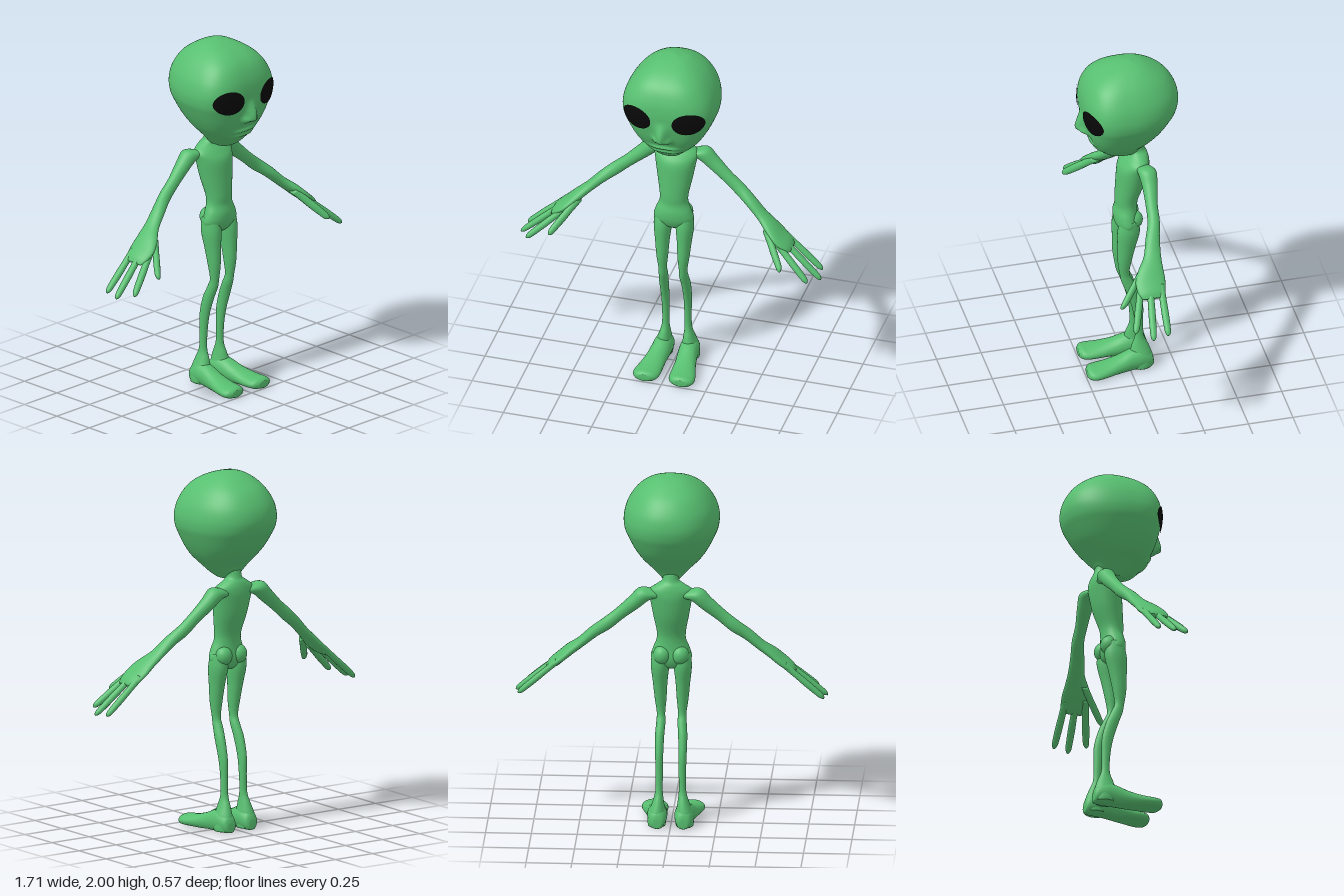
import * as THREE from 'three';

const skin = new THREE.MeshStandardMaterial({ color: 0x57bf70 });
const black = new THREE.MeshStandardMaterial({ color: 0x080808 });
const X = new THREE.Vector3(1, 0, 0), Y = new THREE.Vector3(0, 1, 0), Z = new THREE.Vector3(0, 0, 1);
const ARM_UP = new THREE.Vector3(0.65, 0.76, 0);

// Catmull-Rom through rows of numbers, t in 0..rows.length-1
function spline(rows, t) {
  const i = Math.min(Math.floor(t), rows.length - 2), f = t - i;
  const at = k => rows[Math.max(0, Math.min(rows.length - 1, k))];
  const [a, b, c, d] = [at(i - 1), at(i), at(i + 1), at(i + 2)];
  return b.map((p, k) => p + 0.5 * f * (c[k] - a[k] + f * (2 * a[k] - 5 * p + 4 * c[k] - d[k]
    + f * (3 * (p - c[k]) + d[k] - a[k]))));
}

// Closed skin over rings; ringPoint(row, angle) gives a point, ends close on the ring average
function skinRings(rows, steps, around, ringPoint) {
  const rings = [], count = (rows.length - 1) * steps;
  for (let i = 0; i <= count; i++) {
    const row = spline(rows, i / steps);
    rings.push(Array.from({ length: around }, (_, j) => ringPoint(row, j / around * Math.PI * 2)));
  }
  const collapse = ring => {
    const c = ring.reduce((s, p) => s.add(p), new THREE.Vector3()).divideScalar(around);
    return ring.map(() => c);
  };
  rings.unshift(collapse(rings[0]));
  rings.push(collapse(rings[rings.length - 1]));
  const index = [];
  for (let i = 0; i < rings.length - 1; i++) {
    for (let j = 0; j < around; j++) {
      const a = i * around + j, b = i * around + (j + 1) % around;
      index.push(a, b, a + around, b, b + around, a + around);
    }
  }
  const geo = new THREE.BufferGeometry().setFromPoints(rings.flat());
  geo.setIndex(index);
  geo.computeVertexNormals();
  return geo;
}

// Elliptical loft; rows are [x, y, z, radius along u, radius along v]
function loft(rows, u, v, around = 24) {
  return skinRings(rows, 5, around, ([x, y, z, a, b], ang) => {
    const p = new THREE.Vector3(x, y, z)
      .addScaledVector(u, a * Math.cos(ang)).addScaledVector(v, b * Math.sin(ang));
    p.y = Math.max(0, p.y);
    return p;
  });
}

function mirrored(geo) {
  const m = geo.clone().scale(-1, 1, 1), ix = m.index.array;
  for (let i = 0; i < ix.length; i += 3) [ix[i], ix[i + 1]] = [ix[i + 1], ix[i]];
  m.computeVertexNormals();
  return m;
}

// Head rows: y, z of widest point, half width, front z, back z
const HEAD = [
  [2.0, -0.02, 0.004, -0.016, -0.024], [1.985, -0.02, 0.075, 0.06, -0.09], [1.95, 0, 0.14, 0.145, -0.16],
  [1.9, 0.02, 0.195, 0.205, -0.225], [1.83, 0.03, 0.24, 0.24, -0.27], [1.76, 0.04, 0.26, 0.252, -0.285],
  [1.7, 0.04, 0.258, 0.25, -0.275], [1.65, 0.04, 0.24, 0.24, -0.25], [1.58, 0.04, 0.205, 0.222, -0.205],
  [1.52, 0.04, 0.165, 0.195, -0.15], [1.47, 0.03, 0.115, 0.167, -0.105], [1.42, 0.02, 0.065, 0.118, -0.075],
  [1.4, 0, 0.045, 0.075, -0.06],
];
const FRONT = 2.8, BACK = 2.2;

// Nose, nostrils and lips as relief on the face
function relief(x, y) {
  const bell = (v, w) => Math.exp(-((v / w) ** 2));
  const nose = 0.055 * bell(x, 0.032) * (1 - THREE.MathUtils.smoothstep(y, 1.61, 1.73))
    * THREE.MathUtils.smoothstep(y, 1.565, 1.602);
  const nostrils = 0.022 * bell(Math.abs(x) - 0.038, 0.016) * bell(y - 1.595, 0.02);
  const lips = Math.exp(-((x / 0.085) ** 4)) * (0.016 * bell(y - 1.522, 0.011) + 0.014 * bell(y - 1.49, 0.013));
  return nose + nostrils + lips;
}

function headPoint([y, zc, w, zf, zb], ang) {
  const c = Math.cos(ang), s = Math.sin(ang), n = s > 0 ? FRONT : BACK;
  const r = (Math.abs(c) ** n + Math.abs(s) ** n) ** (-1 / n);
  const x = w * r * c;
  let z = zc + r * s * (s > 0 ? zf - zc : zc - zb);
  if (s > 0) z += relief(x, y);
  return new THREE.Vector3(x, y, z);
}

// Front surface of the head at x, y
function faceZ(x, y) {
  let lo = 0, hi = HEAD.length - 1;
  for (let k = 0; k < 30; k++) {
    const mid = (lo + hi) / 2;
    if (spline(HEAD, mid)[0] > y) lo = mid; else hi = mid;
  }
  const [, zc, w, zf] = spline(HEAD, lo);
  return zc + (zf - zc) * Math.max(0, 1 - (Math.abs(x) / w) ** FRONT) ** (1 / FRONT);
}

// Eye: tilted oval laid on the face
function eyeGeometry() {
  const geo = new THREE.RingGeometry(0.001, 1, 48, 14);
  geo.scale(0.086, 0.068, 1).rotateZ(0.14).translate(0.146, 1.722, 0);
  const p = geo.attributes.position;
  for (let i = 0; i < p.count; i++) p.setZ(i, faceZ(p.getX(i), p.getY(i)) + 0.006);
  geo.computeVertexNormals();
  return geo;
}

function fingerGeometry(base, tip, r) {
  const profile = [[0, 1], [0.3, 0.95], [0.55, 1], [0.85, 0.9], [0.95, 0.7], [1, 0.25]];
  const rows = profile.map(([t, k]) => [...base.map((b, i) => b + (tip[i] - b) * t), r * k * 0.9, r * k]);
  return loft(rows, ARM_UP, Z, 14);
}

export function createModel() {
  const group = new THREE.Group();
  const add = (name, geo, mat = skin) => {
    const m = new THREE.Mesh(geo, mat);
    m.name = name;
    group.add(m);
  };
  const addPair = (name, geo, mat) => {
    add('left' + name, geo, mat);
    add('right' + name, mirrored(geo), mat);
  };

  add('head', skinRings(HEAD, 8, 120, headPoint));
  addPair('Eye', eyeGeometry(), black);

  // Neck, chest, waist and hips
  add('torso', loft([
    [0, 1.45, -0.05, 0.045, 0.045], [0, 1.41, -0.06, 0.046, 0.044], [0, 1.385, -0.065, 0.08, 0.052],
    [0, 1.35, -0.055, 0.122, 0.07], [0, 1.3, -0.04, 0.115, 0.085], [0, 1.2, -0.025, 0.098, 0.08],
    [0, 1.1, -0.004, 0.08, 0.065], [0, 1.05, 0, 0.081, 0.06], [0, 1.0, 0.005, 0.1, 0.065],
    [0, 0.95, 0.002, 0.112, 0.065], [0, 0.91, 0, 0.085, 0.05], [0, 0.89, 0, 0.04, 0.03],
  ], X, Z, 40));
  addPair('Buttock', new THREE.SphereGeometry(0.048, 24, 16).scale(1, 1.1, 1).translate(0.05, 0.97, -0.034));

  // Arm running into a flat palm
  addPair('Arm', loft([
    [0.07, 1.335, -0.07, 0.03, 0.04], [0.14, 1.337, -0.085, 0.044, 0.05], [0.2, 1.285, -0.085, 0.04, 0.042],
    [0.28, 1.215, -0.075, 0.034, 0.033], [0.35, 1.155, -0.068, 0.035, 0.034], [0.42, 1.1, -0.045, 0.031, 0.04],
    [0.49, 1.035, -0.025, 0.027, 0.048], [0.55, 0.985, 0, 0.028, 0.07], [0.6, 0.94, 0.013, 0.026, 0.083],
    [0.65, 0.9, 0.016, 0.022, 0.074], [0.675, 0.88, 0.016, 0.01, 0.055],
  ], ARM_UP, Z));
  addPair('OuterFinger', fingerGeometry([0.62, 0.925, -0.04], [0.835, 0.735, -0.03], 0.02));
  addPair('MiddleFinger', fingerGeometry([0.62, 0.925, 0.02], [0.85, 0.727, 0.056], 0.02));
  addPair('InnerFinger', fingerGeometry([0.59, 0.935, 0.062], [0.797, 0.75, 0.143], 0.021));
  addPair('Thumb', fingerGeometry([0.53, 0.985, 0.035], [0.657, 0.825, 0.185], 0.024));

  // Leg with forward knee and set-back shin
  addPair('Leg', loft([
    [0.06, 0.98, -0.005, 0.045, 0.05], [0.062, 0.9, 0, 0.05, 0.062], [0.062, 0.8, 0.012, 0.04, 0.05],
    [0.06, 0.7, 0.022, 0.032, 0.038], [0.058, 0.62, 0.022, 0.023, 0.027], [0.058, 0.57, 0.008, 0.025, 0.032],
    [0.063, 0.5, -0.02, 0.025, 0.035], [0.064, 0.4, -0.048, 0.022, 0.032], [0.063, 0.3, -0.057, 0.02, 0.024],
    [0.064, 0.2, -0.06, 0.02, 0.024], [0.068, 0.14, -0.062, 0.03, 0.045], [0.074, 0.08, -0.065, 0.045, 0.062],
    [0.076, 0.03, -0.068, 0.05, 0.062], [0.076, 0.004, -0.068, 0.048, 0.06],
  ], X, Z));

  // Foot turned slightly outward, flat underneath
  addPair('Foot', loft([
    [0.072, 0.028, -0.134, 0.022, 0.026], [0.072, 0.042, -0.12, 0.04, 0.05], [0.073, 0.055, -0.07, 0.053, 0.065],
    [0.076, 0.05, -0.01, 0.055, 0.064], [0.084, 0.036, 0.06, 0.058, 0.05], [0.093, 0.026, 0.13, 0.067, 0.04],
    [0.1, 0.022, 0.19, 0.073, 0.034], [0.102, 0.022, 0.225, 0.063, 0.032], [0.104, 0.022, 0.244, 0.035, 0.02],
  ], X, Y));

  return group;
}
